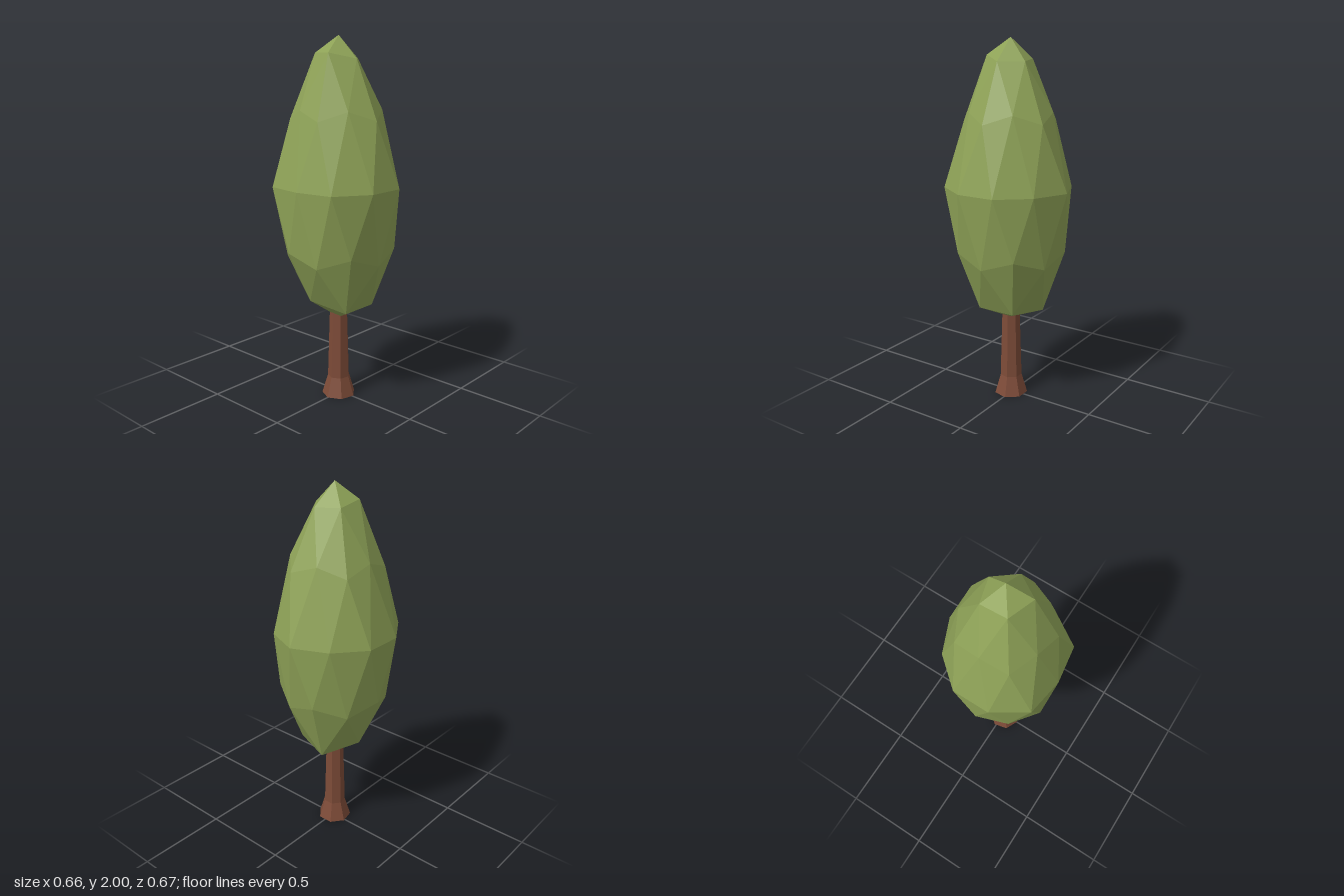
import * as THREE from 'three';

const CENTER_Z = 0.012;

// Ring of points round the trunk axis; radii and heights repeat along the ring
function ring(count, startDeg, radii, heights) {
  return Array.from({ length: count }, (_, i) => {
    const a = THREE.MathUtils.degToRad(startDeg + (i * 360) / count);
    const r = radii[i % radii.length];
    return [Math.cos(a) * r, heights[i % heights.length], CENTER_Z - Math.sin(a) * r];
  });
}

// Crown: a stretched, slightly uneven 80-sided icosphere built ring by ring
function crownGeometry() {
  const top = [0, 2, CENTER_Z];
  const tip = ring(5, 0, [0.125, 0.118, 0.124, 0.124, 0.13], [1.88, 1.88, 1.89, 1.91, 1.91]);
  const upper = ring(10, 0, [0.26, 0.23], [1.57, 1.62]);
  const belt = ring(10, 18,
    [0.347, 0.331, 0.35, 0.331, 0.347, 0.347, 0.359, 0.323, 0.359, 0.347], [1.215]);
  const lower = ring(10, 0, [0.285, 0.305], [0.81, 0.87]);
  const base = ring(5, 36, [0.185, 0.185, 0.18, 0.18, 0.185], [0.54, 0.52, 0.57, 0.585, 0.54]);
  const bottom = [0, 0.46, CENTER_Z];

  const positions = [];
  const face = (...corners) => corners.forEach((p) => positions.push(...p));
  const at = (points, i) => points[i % points.length];

  for (let k = 0; k < 5; k++) {
    const j = 2 * k;
    // tip cap
    face(top, tip[k], at(tip, k + 1));
    face(tip[k], upper[j], upper[j + 1]);
    face(tip[k], upper[j + 1], at(tip, k + 1));
    face(at(tip, k + 1), upper[j + 1], at(upper, j + 2));
    // underside
    face(lower[j], base[k], lower[j + 1]);
    face(lower[j + 1], base[k], at(lower, j + 2));
    face(at(lower, j + 2), base[k], at(base, k + 1));
    face(base[k], bottom, at(base, k + 1));
  }
  // two bands either side of the widest ring
  for (let j = 0; j < 10; j++) {
    face(upper[j], belt[j], at(upper, j + 1));
    face(at(upper, j + 1), belt[j], at(belt, j + 1));
    face(belt[j], lower[j], at(lower, j + 1));
    face(belt[j], at(lower, j + 1), at(belt, j + 1));
  }
  const geometry = new THREE.BufferGeometry();
  geometry.setAttribute('position', new THREE.Float32BufferAttribute(positions, 3));
  geometry.computeVertexNormals();
  return geometry;
}

// Trunk: seven-sided, flared at the foot
function trunkGeometry() {
  const profile = [[0, 0], [0.095, 0], [0.062, 0.11], [0.05, 0.51], [0, 0.51]];
  const geometry = new THREE.LatheGeometry(
    profile.map(([x, y]) => new THREE.Vector2(x, y)), 7).toNonIndexed();
  geometry.translate(0, 0, CENTER_Z);
  geometry.computeVertexNormals();
  return geometry;
}

export function createModel() {
  const leafGreen = new THREE.MeshStandardMaterial({ color: 0x8ea257, flatShading: true });
  leafGreen.name = 'leafGreen';
  const barkBrown = new THREE.MeshStandardMaterial({ color: 0x7d4b38, flatShading: true });
  barkBrown.name = 'barkBrown';

  const crown = new THREE.Mesh(crownGeometry(), leafGreen);
  crown.name = 'crown';
  const trunk = new THREE.Mesh(trunkGeometry(), barkBrown);
  trunk.name = 'trunk';

  const tree = new THREE.Group();
  tree.name = 'tree';
  tree.add(trunk, crown);
  return tree;
}
